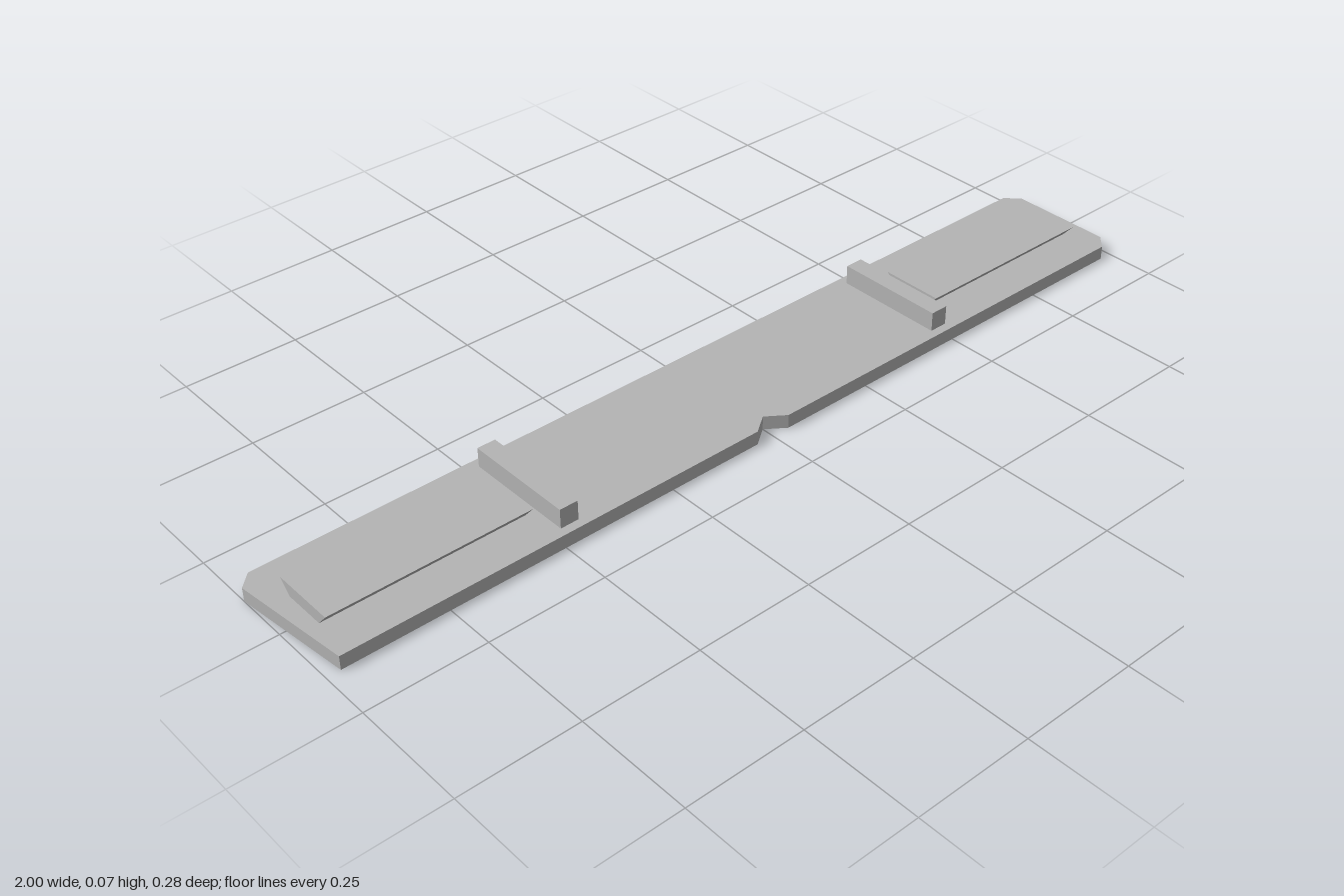
import * as THREE from 'three';

export function createModel() {
  const group = new THREE.Group();
  const grey = new THREE.MeshStandardMaterial({ color: 0xb4b4b4 });
  grey.name = 'grey';

  const T = 0.03; // plate thickness

  const add = (name, geometry) => {
    const mesh = new THREE.Mesh(geometry, grey);
    mesh.name = name;
    group.add(mesh);
    return mesh;
  };
  const extrude = (points, depth) => new THREE.ExtrudeGeometry(
    new THREE.Shape(points.map(([x, y]) => new THREE.Vector2(x, y))),
    { depth, bevelEnabled: false });

  // Base plate with cut corners and a V notch in the front edge (outline in x, -z)
  const W = 1, D = 0.142, C = 0.029;
  const plate = extrude([
    [-W + C, -D], [-0.04, -D], [0, -0.113], [0.04, -D], [W - C, -D], [W, -D + C],
    [W, D - C], [W - C, D], [-W + C, D], [-W, D - C],
  ], T);
  plate.rotateX(-Math.PI / 2);
  add('basePlate', plate);

  for (const [side, s] of [['left', 1], ['right', -1]]) {
    // Upright stop bar across the plate
    const bar = add(side + 'StopBar', new THREE.BoxGeometry(0.04, 0.042, 0.244));
    bar.position.set(s * 0.476, T + 0.021, 0.001);

    // Dovetail rail, wider at the top (section in -z, y)
    const rail = extrude([[-0.051, T], [0.04, T], [0.064, 0.058], [-0.075, 0.058]], 0.432);
    rail.translate(0, 0, -0.216);
    rail.rotateY(Math.PI / 2);
    add(side + 'DovetailRail', rail).position.x = s * 0.735;
  }
  return group;
}
